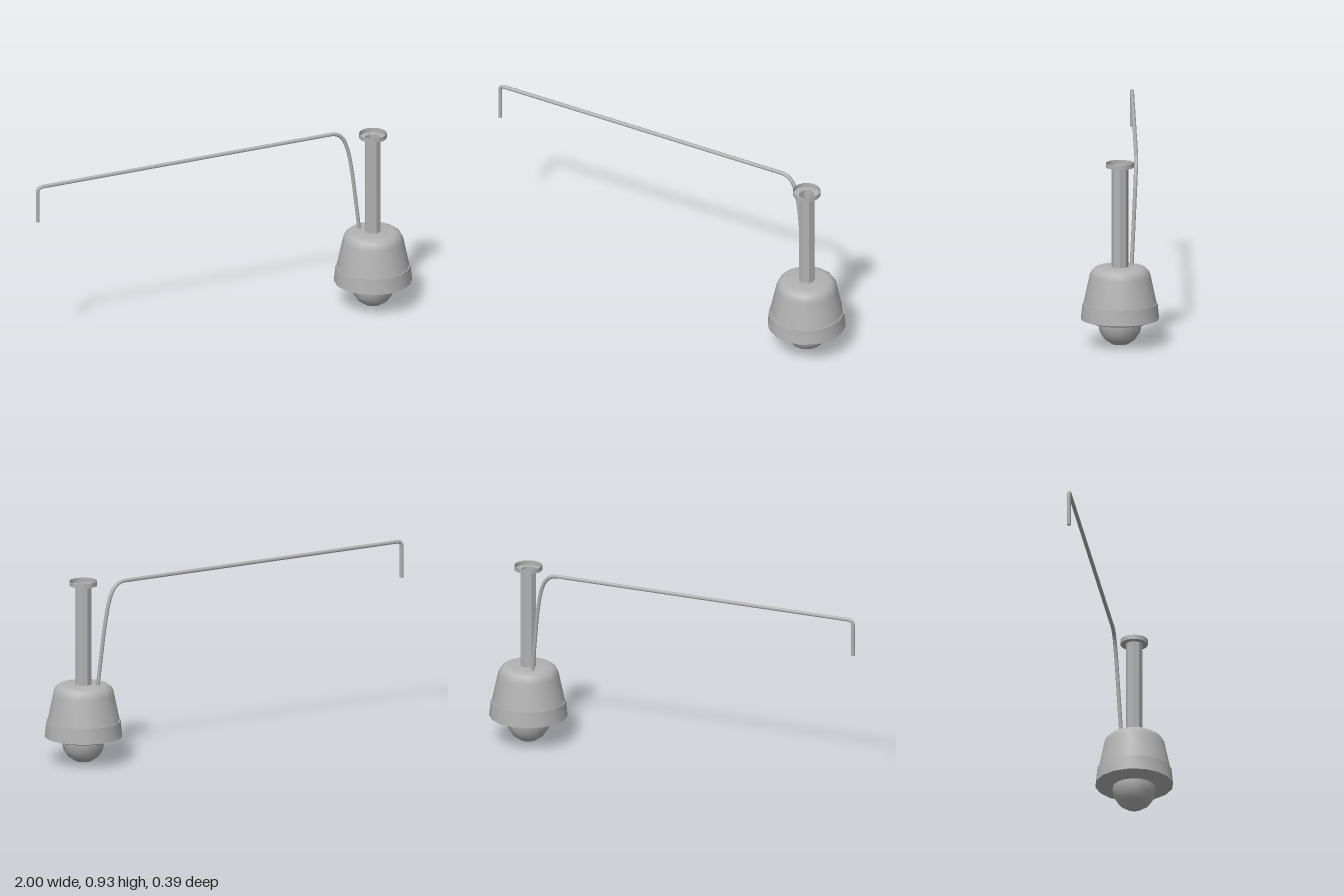
import * as THREE from 'three';
import { toCreasedNormals } from 'three/addons/utils/BufferGeometryUtils.js';

export function createModel() {
  const model = new THREE.Group();
  const grey = new THREE.MeshStandardMaterial({ color: 0xb2b2b2, side: THREE.DoubleSide });
  grey.name = 'grey';

  const add = (name, geometry, parent = model) => {
    const mesh = new THREE.Mesh(geometry, grey);
    mesh.name = name;
    parent.add(mesh);
    return mesh;
  };
  // Turned part from [radius, y] points, bottom to top
  const turned = (points, sides) => toCreasedNormals(
    new THREE.LatheGeometry(points.map(([r, y]) => new THREE.Vector2(r, y)), sides), 0.55);

  // Hanging camera unit, all turned about one axis
  const unit = new THREE.Group();
  unit.name = 'cameraUnit';
  unit.position.x = 0.805;
  model.add(unit);

  add('housing', turned([
    [0.182, 0.218], [0.153, 0.355], [0.149, 0.371], [0.139, 0.388],
    [0.123, 0.4], [0.104, 0.404], [0, 0.404],
  ], 16), unit);
  add('lowerRing', turned([
    [0, 0.125], [0.15, 0.125], [0.195, 0.139], [0.187, 0.218], [0.18, 0.218],
  ], 16), unit);

  // Dome lens: short collar, then a hemisphere
  const dome = [];
  for (let i = 0; i <= 4; i++) {
    const a = (i / 4) * Math.PI / 2;
    dome.push([0.108 * Math.sin(a), 0.112 - 0.107 * Math.cos(a)]);
  }
  dome.push([0.108, 0.126]);
  add('domeLens', turned(dome, 16), unit);

  // Hollow octagonal pole and the open cup at its top
  add('pole', turned([[0.041, 0.4], [0.041, 0.909]], 8), unit);
  add('mountingCup', turned([[0.041, 0.908], [0.069, 0.908], [0.069, 0.931]], 16), unit);

  // Cable: drop at the far end, long straight run, bend down into the housing
  const v = (x, y, z) => new THREE.Vector3(x, y, z);
  const z = -0.083, top = 0.926;
  const path = new THREE.CurvePath();
  path.add(new THREE.LineCurve3(v(-0.99, 0.74, z), v(-0.99, 0.9, z)));
  path.add(new THREE.QuadraticBezierCurve3(v(-0.99, 0.9, z), v(-0.99, top, z), v(-0.964, top, z)));
  path.add(new THREE.LineCurve3(v(-0.964, top, z), v(0.61, top, z)));
  path.add(new THREE.CubicBezierCurve3(
    v(0.61, top, z), v(0.715, top, z), v(0.715, 0.8, -0.078), v(0.758, 0.39, -0.058)));
  const cable = add('cable', new THREE.TubeGeometry(path, 260, 0.0098, 8, false));

  // Closed cable end
  const cap = add('cableEnd', new THREE.CircleGeometry(0.0098, 8));
  cap.rotation.x = Math.PI / 2;
  cap.position.copy(path.getPoint(0));

  return model;
}
